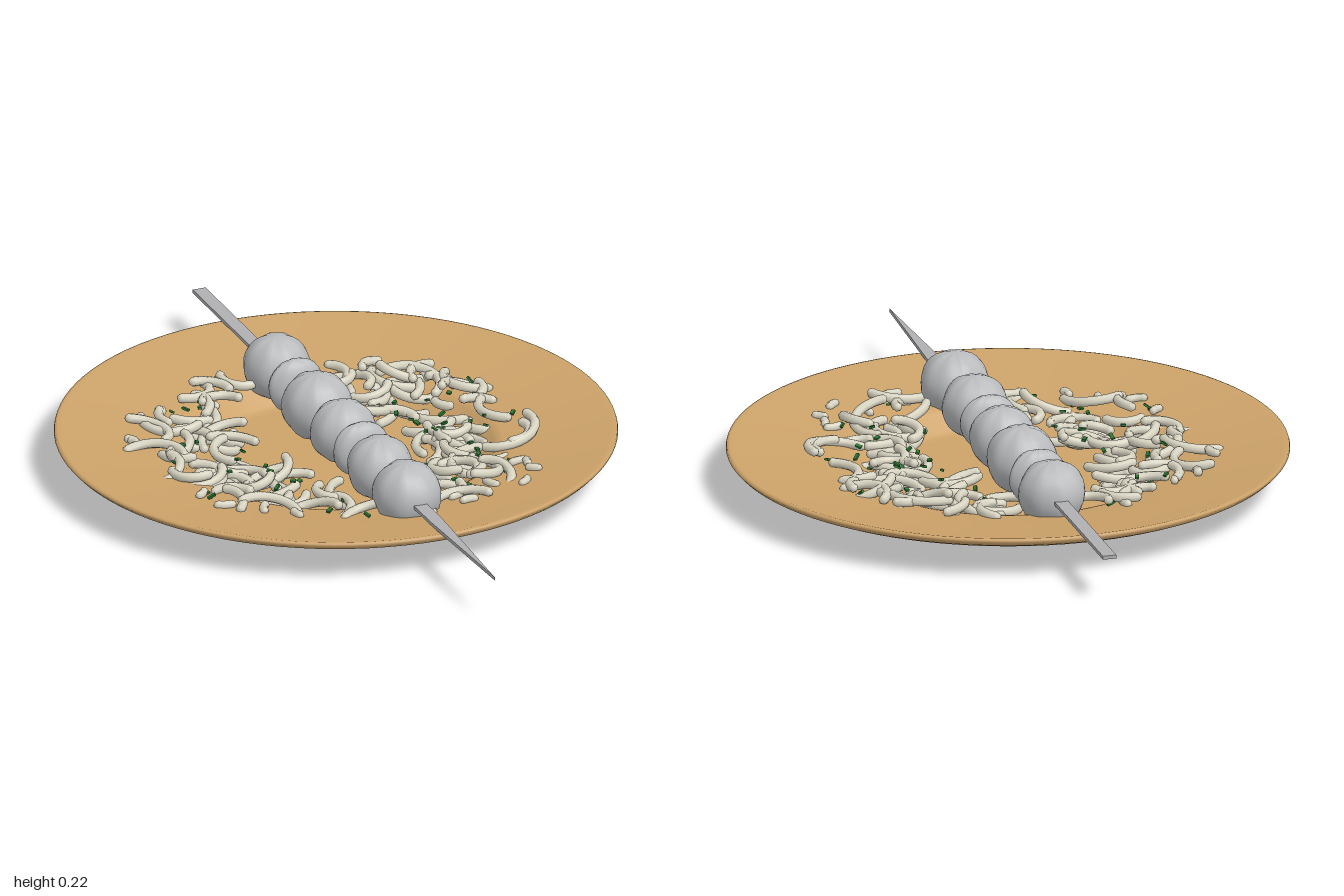
import * as THREE from 'three';
import { mergeGeometries } from 'three/addons/utils/BufferGeometryUtils.js';

const mat = (name, color, side = THREE.FrontSide) => {
  const m = new THREE.MeshStandardMaterial({ color, side });
  m.name = name;
  return m;
};

// small seeded generator
function seeded(seed) {
  return () => {
    seed = (seed * 1664525 + 1013904223) % 4294967296;
    return seed / 4294967296;
  };
}

const PLATE_X = -0.065;
const SLOPE = Math.atan2(0.495, 2); // turn of the skewer in plan

// height of the upper plate surface at a radius
function plateTop(r) {
  if (r < 0.37) return 0.02;
  if (r < 0.44) return 0.02 + (r - 0.37) / 0.07 * 0.055;
  return 0.075 + (r - 0.44) / 0.31 * 0.042;
}

// signed plan distance from the skewer line
const fromSkewer = (x, z) => (z - 0.0125) * Math.cos(SLOPE) - x * Math.sin(SLOPE);

// lobed ball, pinched at the poles
function ballGeometry(r, phase) {
  const g = new THREE.SphereGeometry(r, 32, 16);
  const p = g.attributes.position, v = new THREE.Vector3();
  for (let i = 0; i < p.count; i++) {
    v.fromBufferAttribute(p, i);
    const c = v.y / r, s = Math.sqrt(Math.max(0, 1 - c * c));
    const a = Math.atan2(v.z, v.x);
    const lobes = 0.03 * s * Math.cos(8 * a + phase) * (0.4 + 0.6 * Math.abs(c));
    v.multiplyScalar(1 + lobes + 0.015 * s * Math.sin(3 * a + phase + 4 * c) - 0.04 * Math.pow(c, 12));
    p.setXYZ(i, v.x, v.y, v.z);
  }
  g.computeVertexNormals();
  return g;
}

// curved noodle with rounded ends, lying flat about its own middle
function noodleGeometry(bend, span, thick) {
  const parts = [new THREE.TorusGeometry(bend, thick, 7, 14, span)];
  for (const a of [0, span]) {
    const end = new THREE.SphereGeometry(thick, 7, 5);
    end.translate(bend * Math.cos(a), bend * Math.sin(a), 0);
    parts.push(end);
  }
  const g = mergeGeometries(parts);
  g.translate(-bend * Math.cos(span / 2) * 0.8, -bend * Math.sin(span / 2) * 0.8, 0);
  return g.rotateX(Math.PI / 2);
}

export function createModel() {
  const model = new THREE.Group();
  const clay = mat('plate tan', 0xcca269, THREE.DoubleSide);
  const grey = mat('ball grey', 0xb9bbbd);
  const steel = mat('skewer grey', 0xb0b0b2);
  const cream = mat('noodle cream', 0xdad6c4);
  const green = mat('herb green', 0x2c7434);
  const add = (name, geometry, material, parent = model) => {
    const m = new THREE.Mesh(geometry, material);
    m.name = name;
    parent.add(m);
    return m;
  };

  // plate: underside, lip, sloping rim, steep well wall and floor
  const profile = [
    [0, 0], [0.405, 0], [0.42, 0.003], [0.46, 0.016], [0.51, 0.033], [0.56, 0.047], [0.65, 0.067],
    [0.73, 0.088], [0.757, 0.1], [0.767, 0.111], [0.765, 0.118], [0.757, 0.12], [0.745, 0.117],
    [0.6, 0.097], [0.455, 0.077], [0.44, 0.073], [0.428, 0.064], [0.385, 0.027], [0.37, 0.021],
    [0.35, 0.02], [0, 0.02]
  ].map(([r, y]) => new THREE.Vector2(r, y));
  add('plate', new THREE.LatheGeometry(profile, 96), clay).position.x = PLATE_X;

  // skewer: flat blade with a long point
  const kebab = new THREE.Group();
  kebab.name = 'kebab';
  kebab.position.set(0, 0.125, 0.0125);
  kebab.rotation.y = -SLOPE;
  model.add(kebab);
  const blade = new THREE.Shape();
  blade.moveTo(-1.026, -0.019);
  blade.lineTo(0.62, -0.019);
  blade.lineTo(1.03, 0);
  blade.lineTo(0.62, 0.019);
  blade.lineTo(-1.026, 0.019);
  const bladeGeo = new THREE.ExtrudeGeometry(blade, { depth: 0.01, bevelEnabled: false });
  bladeGeo.translate(0, 0, -0.005).rotateX(Math.PI / 2);
  add('skewer', bladeGeo, steel, kebab);

  // balls, with thin slices between some of them: [x, radius, thickness scale]
  const pieces = [
    [-0.487, 0.092, 1], [-0.353, 0.08, 0.48], [-0.207, 0.096, 1.02], [-0.027, 0.09, 0.93],
    [0.1, 0.08, 0.48], [0.232, 0.09, 1], [0.42, 0.094, 1.02]
  ];
  pieces.forEach(([x, r, flat], i) => {
    const m = add(flat < 0.6 ? 'slice' : 'ball', ballGeometry(r, i * 1.3), grey, kebab);
    m.position.x = x;
    m.scale.x = flat;
  });

  // noodles: loose arcs ringed around the well on both sides of the skewer
  const rnd = seeded(77);
  const noodles = [];
  const put = (list, g, x, y, z, tilt) => {
    const e = new THREE.Euler((rnd() - 0.5) * tilt, rnd() * Math.PI * 2, (rnd() - 0.5) * tilt);
    const q = new THREE.Quaternion().setFromEuler(e);
    list.push(g.applyMatrix4(new THREE.Matrix4().compose(new THREE.Vector3(x, y, z), q, new THREE.Vector3(1, 1, 1))));
  };
  const pick = (rMin, rMax) => {
    for (;;) {
      const a = rnd() * Math.PI * 2, r = rMin + (rMax - rMin) * rnd();
      const x = PLATE_X + 0.02 + r * Math.cos(a), z = r * Math.sin(a);
      if (Math.abs(fromSkewer(x, z)) > 0.12) return [x, z, r];
    }
  };
  for (let i = 0; i < 112; i++) {
    const [x, z, r] = pick(0.24, 0.5);
    const bend = 0.045 + rnd() * 0.055, span = 1.0 + rnd() * 1.7;
    const low = plateTop(r) + 0.012;
    const y = Math.min(0.1, low + rnd() * Math.max(0.01, 0.085 - low));
    put(noodles, noodleGeometry(bend, span, 0.0135), x, y, z, 0.4);
  }
  // short scraps on the rim
  for (let i = 0; i < 14; i++) {
    const [x, z, r] = pick(0.47, 0.58);
    put(noodles, noodleGeometry(0.05, 0.4 + rnd() * 0.5, 0.012), x, plateTop(r) + 0.008, z, 0.2);
  }
  add('noodles', mergeGeometries(noodles), cream);

  // chopped herbs scattered over the noodles
  const herbs = [];
  for (let i = 0; i < 60; i++) {
    const [x, z, r] = pick(0.22, 0.52);
    const g = new THREE.BoxGeometry(0.012 + rnd() * 0.012, 0.006, 0.01);
    put(herbs, g, x, Math.max(plateTop(r) + 0.01, 0.075 + rnd() * 0.03), z, 1);
  }
  add('herbs', mergeGeometries(herbs), green);

  return model;
}
